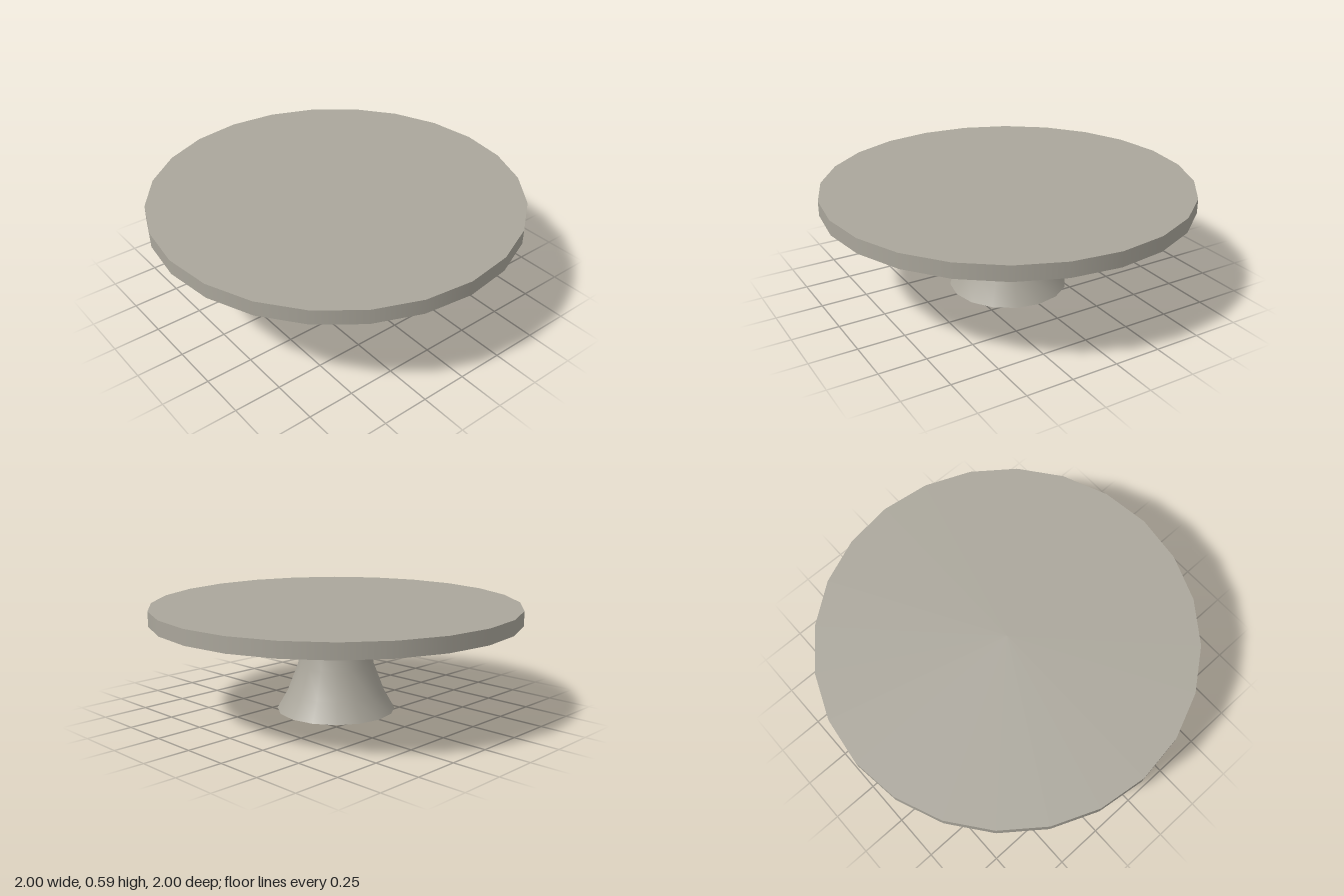
import * as THREE from 'three';

export function createModel() {
  const model = new THREE.Group();
  const stone = new THREE.MeshStandardMaterial({ color: 0xaaa69b });
  stone.name = 'warm grey stone';

  // Round slab top
  const topBottom = 0.51;
  const topHeight = 0.59;
  const top = new THREE.Mesh(
    new THREE.CylinderGeometry(1, 1, topHeight - topBottom, 24),
    stone
  );
  top.name = 'tableTop';
  top.position.y = (topBottom + topHeight) / 2;
  model.add(top);

  // Flared pedestal, smooth around its side
  const profile = [
    [0.325, 0], [0.265, 0.105], [0.208, 0.255], [0.183, 0.4], [0.178, topBottom],
  ].map(([r, y]) => new THREE.Vector2(r, y));
  const pedestal = new THREE.Mesh(new THREE.LatheGeometry(profile, 16), stone);
  pedestal.name = 'pedestal';
  model.add(pedestal);

  // Flat underside closing the pedestal
  const foot = new THREE.Mesh(new THREE.CircleGeometry(0.325, 16), stone);
  foot.name = 'pedestalUnderside';
  foot.rotation.x = Math.PI / 2;
  model.add(foot);

  return model;
}
